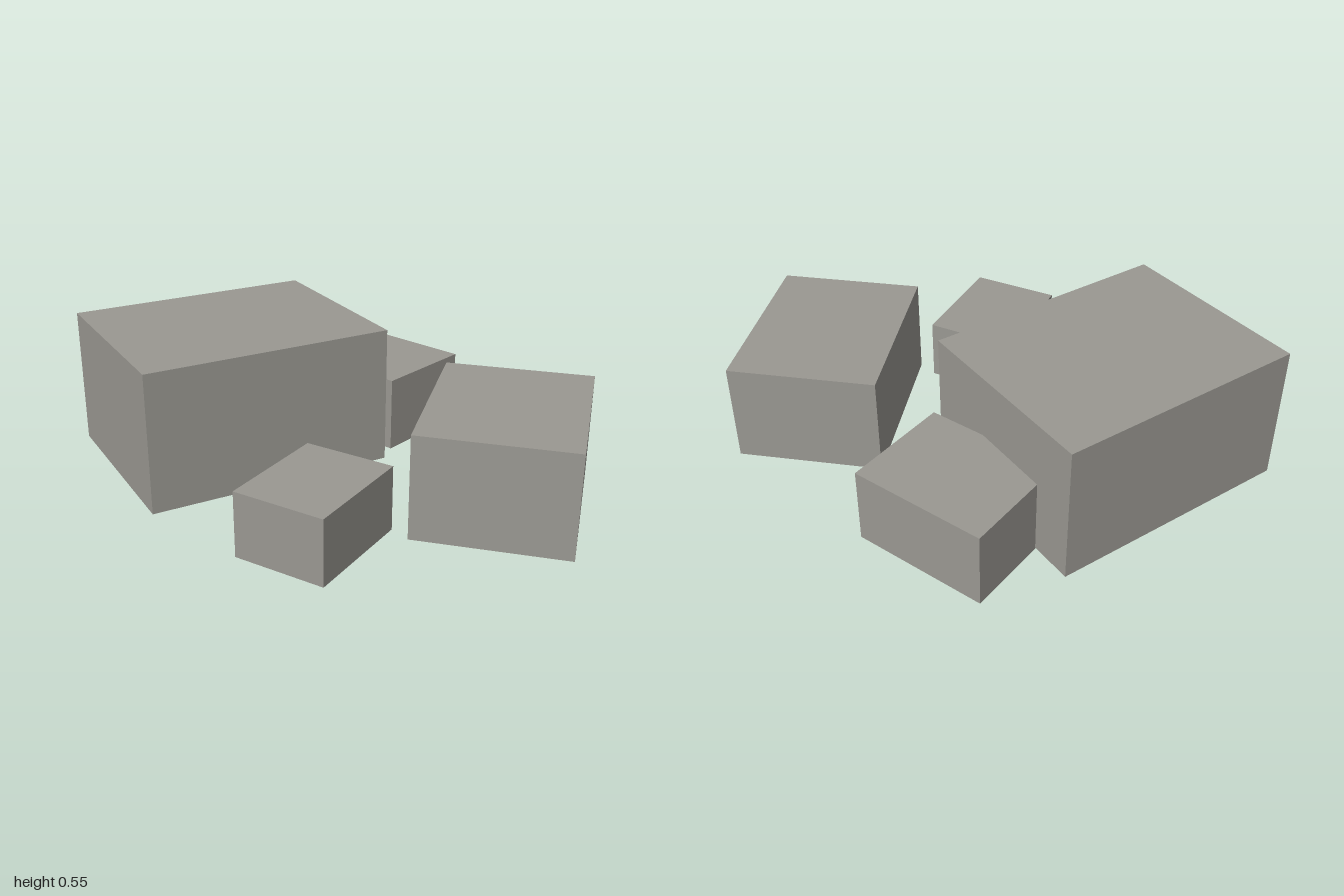
import * as THREE from 'three';

export function createModel() {
  const model = new THREE.Group();
  const stone = new THREE.MeshStandardMaterial({ color: 0x9a9892, flatShading: true });
  stone.name = 'stone grey';

  // Four turned blocks: name, [width, height, depth], [x, z], turn about y, base height
  const blocks = [
    ['largeBlock', [0.988, 0.545, 0.787], [-0.391, -0.245], 0.4, 0.005],
    ['mediumBlock', [0.573, 0.4, 0.719], [0.598, 0.342], -0.367, 0],
    ['backBlock', [0.429, 0.3, 0.536], [0.238, -0.513], 0.728, 0],
    ['smallBlock', [0.356, 0.25, 0.448], [-0.121, 0.565], -0.666, 0],
  ];

  for (const [name, size, [x, z], turn, base] of blocks) {
    const block = new THREE.Mesh(new THREE.BoxGeometry(...size), stone);
    block.name = name;
    block.position.set(x, base + size[1] / 2, z);
    block.rotation.y = turn;
    model.add(block);
  }
  return model;
}
